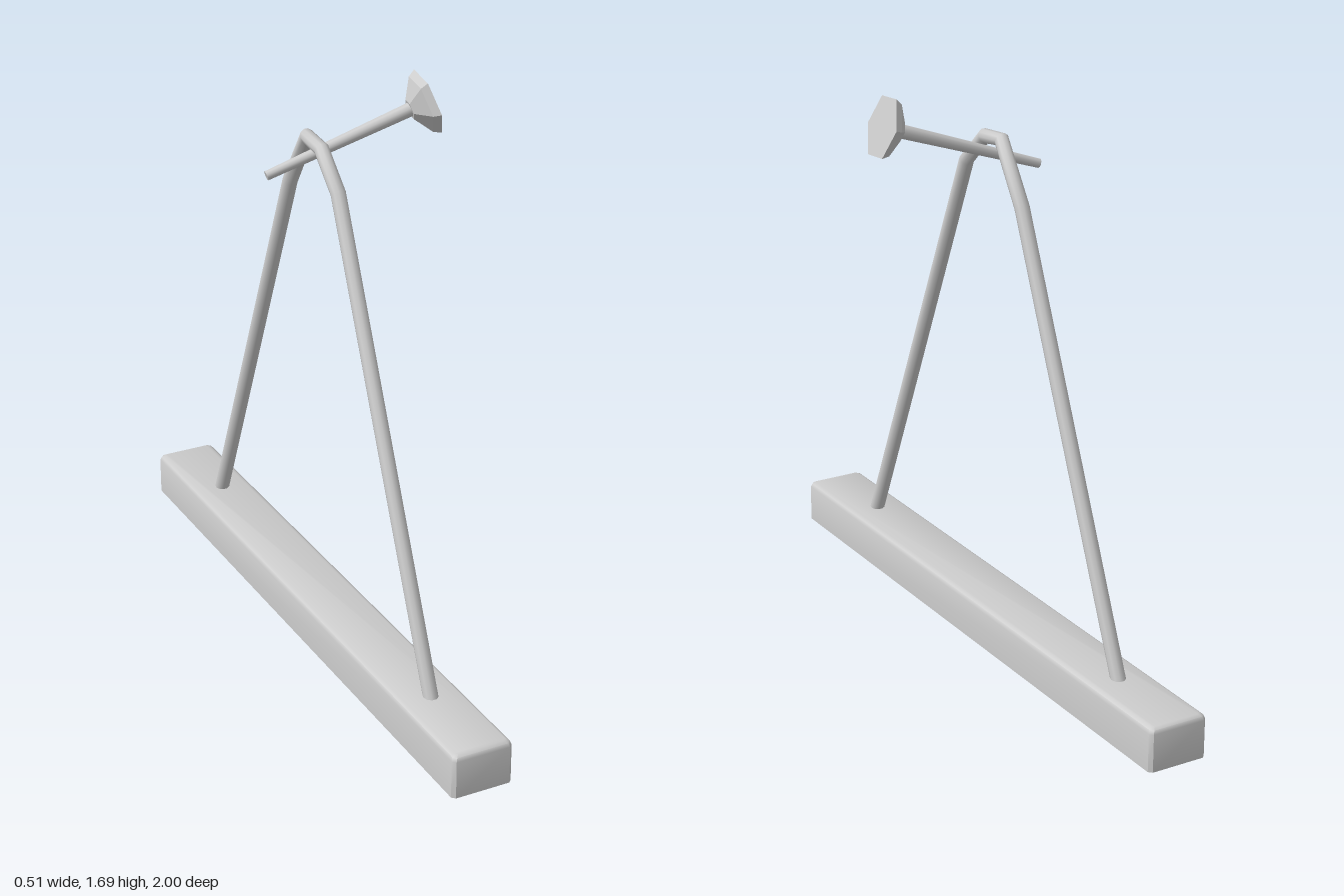
import * as THREE from 'three';
import { toCreasedNormals } from 'three/addons/utils/BufferGeometryUtils.js';

const X = -0.117; // centre line of base and frame

const grey = (opts = {}) => new THREE.MeshStandardMaterial({ color: 0xcccccc, ...opts });

function addMesh(parent, name, geometry, material) {
  const mesh = new THREE.Mesh(geometry, material);
  mesh.name = name;
  parent.add(mesh);
  return mesh;
}

// Corner-cut rectangle ring in the xz plane
function ring(hw, hd, y, cut) {
  const a = hw - cut, b = hd - cut;
  return [[hw, b], [a, hd], [-a, hd], [-hw, b], [-hw, -b], [-a, -hd], [a, -hd], [hw, -b]]
    .map(([x, z]) => [x, y, z]);
}

// Hollow trough: side walls, bevelled rim and closed top, open underneath
function troughGeometry() {
  const rings = [
    ring(0.093, 1, 0, 0.01),
    ring(0.093, 1, 0.115, 0.01),
    ring(0.089, 0.996, 0.126, 0.01),
    ring(0.079, 0.986, 0.132, 0.008),
  ];
  const n = 8, index = [];
  for (let r = 0; r < rings.length - 1; r++) {
    for (let i = 0; i < n; i++) {
      const a = r * n + i, b = r * n + (i + 1) % n;
      index.push(a, a + n, b, b, a + n, b + n);
    }
  }
  const top = (rings.length - 1) * n;
  for (let i = 1; i < n - 1; i++) index.push(top, top + i, top + i + 1);
  const flip = index.map((_, k) => index[k - (k % 3) + [0, 2, 1][k % 3]]);
  const geometry = new THREE.BufferGeometry();
  geometry.setAttribute('position', new THREE.Float32BufferAttribute(rings.flat(2), 3));
  // rings run from +x towards +z, so side walls and cap need opposite orders
  const sides = (rings.length - 1) * n * 6;
  geometry.setIndex([...index.slice(0, sides), ...flip.slice(sides).map((_, k) => index[sides + k])]);
  return toCreasedNormals(fixWinding(geometry), 0.7);
}

// Turn every triangle of a convex shell outwards
function fixWinding(geometry) {
  const p = geometry.attributes.position, idx = geometry.index.array;
  const [a, b, c] = [0, 1, 2].map(() => new THREE.Vector3());
  const centre = new THREE.Vector3(0, 0.06, 0);
  for (let i = 0; i < idx.length; i += 3) {
    [a, b, c].forEach((v, k) => v.fromBufferAttribute(p, idx[i + k]));
    const normal = b.clone().sub(a).cross(c.clone().sub(a));
    if (normal.dot(a.clone().sub(centre)) < 0) [idx[i + 1], idx[i + 2]] = [idx[i + 2], idx[i + 1]];
  }
  return geometry;
}

// Polyline path whose rings fall exactly on the bends
class BentPath extends THREE.Curve {
  constructor(points) {
    super();
    this.points = points;
  }
  getPoint(t, target = new THREE.Vector3()) {
    const n = this.points.length - 1;
    const s = t * n, i = Math.min(Math.floor(s + 1e-9), n - 1);
    return target.lerpVectors(this.points[i], this.points[i + 1], s - i);
  }
  getPointAt(t, target) {
    return this.getPoint(t, target);
  }
  getTangentAt(t, target = new THREE.Vector3()) {
    const n = this.points.length - 1, i = Math.round(t * n), p = this.points;
    target.set(0, 0, 0);
    if (i > 0) target.add(p[i].clone().sub(p[i - 1]).normalize());
    if (i < n) target.add(p[i + 1].clone().sub(p[i]).normalize());
    return target.normalize();
  }
}

export function createModel() {
  const model = new THREE.Group();
  model.name = 'standWithHandle';

  // Long hollow base
  const base = addMesh(model, 'base', troughGeometry(), grey({ side: THREE.DoubleSide }));
  base.position.x = X;

  // Bent tube frame: two legs meeting in an uneven arch
  const path = [[0.11, 0.71], [1.435, 0.137], [1.53, 0.035], [1.54, -0.055], [1.37, -0.168], [0.11, -0.71]]
    .map(([y, z]) => new THREE.Vector3(X, y, z));
  addMesh(model, 'frame', new THREE.TubeGeometry(new BentPath(path), path.length - 1, 0.022, 10), grey());

  // Tilted handle: local y runs along the rod, origin on the knob's face
  const handle = new THREE.Group();
  handle.name = 'handle';
  handle.position.set(0.229, 1.608, 0.012);
  handle.quaternion.setFromUnitVectors(
    new THREE.Vector3(0, 1, 0), new THREE.Vector3(0.943, 0.314, 0.108).normalize());
  model.add(handle);

  // Tapered rod
  const rod = addMesh(handle, 'rod', new THREE.CylinderGeometry(0.021, 0.014, 0.46, 10), grey());
  rod.position.y = -0.278;

  // Six-sided knob with a tapered back
  const profile = [[0, -0.058], [0.03, -0.058], [0.085, -0.022], [0.097, 0], [0, 0]]
    .map(([r, y]) => new THREE.Vector2(r, y));
  addMesh(handle, 'knob', new THREE.LatheGeometry(profile, 6), grey({ flatShading: true }));

  return model;
}
